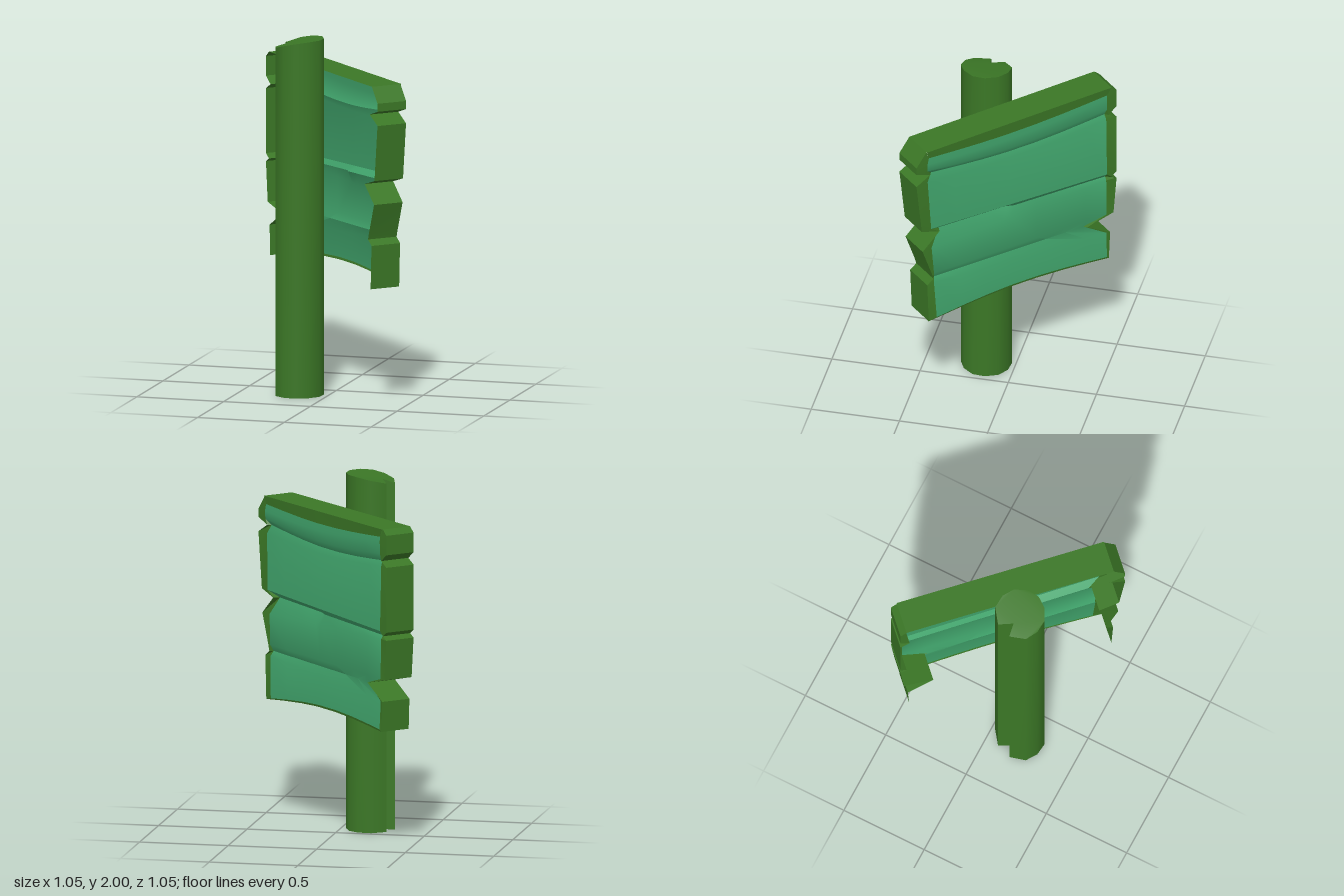
import * as THREE from 'three';
import { toCreasedNormals } from 'three/addons/utils/BufferGeometryUtils.js';

const green = new THREE.MeshStandardMaterial({ color: 0x3b7726, side: THREE.DoubleSide });
const teal = new THREE.MeshStandardMaterial({ color: 0x40a36b, side: THREE.DoubleSide });
const lerp = THREE.MathUtils.lerp;

// Surface through rows of [x, y, z] points
function sheet(name, rows, material, crease = 0.5) {
  const w = rows[0].length, index = [];
  for (let r = 0; r < rows.length - 1; r++) {
    for (let c = 0; c < w - 1; c++) {
      const a = r * w + c, b = a + w;
      index.push(a, b, a + 1, b, b + 1, a + 1);
    }
  }
  const geo = new THREE.BufferGeometry();
  geo.setAttribute('position', new THREE.Float32BufferAttribute(rows.flat(2), 3));
  geo.setIndex(index);
  const mesh = new THREE.Mesh(toCreasedNormals(geo, crease), material);
  mesh.name = name;
  return mesh;
}

// Round post with a groove down one side and a sloping top
function makePost() {
  const post = new THREE.Group();
  post.name = 'post';
  const outline = [
    [-0.3, 0.165], [-0.275, 0.255], [-0.215, 0.295], [-0.145, 0.303], [-0.08, 0.27], [-0.035, 0.21],
    [-0.03, 0.14], [-0.06, 0.07], [-0.12, 0.03], [-0.195, 0.023], [-0.27, 0.08], [-0.23, 0.155],
  ];
  const topY = (x) => 2 - 0.75 * (x + 0.03) ** 2;
  const loop = [...outline, outline[0]];
  post.add(sheet('postSide', [
    loop.map(([x, z]) => [x, topY(x), z]),
    loop.map(([x, z]) => [x, 0, z]),
  ], green, 0.85));

  const shape = new THREE.Shape(outline.map(([x, z]) => new THREE.Vector2(x, -z)));
  const cap = new THREE.ShapeGeometry(shape).rotateX(-Math.PI / 2);
  const p = cap.attributes.position;
  for (let i = 0; i < p.count; i++) p.setY(i, topY(p.getX(i)));
  cap.computeVertexNormals();
  const top = new THREE.Mesh(cap, green);
  top.name = 'postTop';
  post.add(top);
  return post;
}

// Weathered board: a shell with a front, top and notched ends, open behind and below
function makeBoard() {
  const board = new THREE.Group();
  board.name = 'board';
  const half = 0.092, rim = -0.087;

  // Notched end profiles, top to bottom: [along, height]
  const left = [
    [-0.615, 1.81], [-0.65, 1.78], [-0.65, 1.67], [-0.597, 1.63], [-0.65, 1.6], [-0.65, 1.235],
    [-0.615, 1.21], [-0.65, 1.19], [-0.63, 0.965], [-0.46, 0.925], [-0.608, 0.84], [-0.6, 0.67],
  ];
  const right = [
    [0.585, 1.81], [0.65, 1.725], [0.65, 1.68], [0.56, 1.65], [0.65, 1.6], [0.615, 1.285],
    [0.5, 1.25], [0.61, 1.15], [0.55, 0.98], [0.54, 0.945], [0.58, 0.915], [0.57, 0.67],
  ];
  const last = left.length - 1;

  // Face depth per row (seams between planks sit deeper) and sag at mid-length
  const depth = [0.088, 0.09, 0.088, 0.068, 0.08, 0.088, 0.068, 0.08, 0.085, 0.068, 0.083, 0.09];
  const sag = [-0.025, -0.03, -0.035, -0.035, -0.03, 0, 0, 0, 0, 0, 0, 0.04];
  const columns = [0, 0.12, 0.25, 0.4, 0.55, 0.585, 0.7, 0.85, 1];

  const face = left.map(([uL, yL], i) => {
    const [uR, yR] = right[i];
    const a = Math.max(uL + 0.015, -0.587);
    const b = Math.min(uR - 0.015, lerp(0.52, 0.585, (yR - 0.67) / 1.14));
    const cap = 1.765 - 0.025 * i;
    return columns.map((t) => {
      const limit = i < 3 ? cap : 2;
      const y = lerp(Math.min(yL, limit), Math.min(yR, limit), t)
        + sag[i] * Math.sin(Math.PI * t) + (i === last ? 0.012 : 0);
      // Split running in from the left edge along the middle seam
      const n = i === 6 && t > 0.56 ? 0.052 : depth[i];
      return [lerp(a, b, t), y, -n];
    });
  });
  board.add(sheet('planks', face, teal, 0.6));

  // End walls and the rims joining them to the face
  [[left, 0, 'rightEnd'], [right, columns.length - 1, 'leftEnd']].forEach(([profile, c, name]) => {
    board.add(sheet(name, [
      profile.map(([u, y]) => [u, y, half]),
      profile.map(([u, y]) => [u, y, rim]),
    ], green));
    board.add(sheet(name + 'Rim', [
      profile.map(([u, y]) => [u, y, rim]),
      face.map((row) => row[c]),
    ], green));
  });

  // Top wall with its rim, and the thin bottom rim
  const topEdge = (z) => columns.map((t) => [lerp(left[0][0], right[0][0], t), 1.81, z]);
  board.add(sheet('boardTop', [topEdge(half), topEdge(-half), face[0]], green));
  const bottomEdge = columns.map((t) => [
    lerp(left[last][0], right[last][0], t), 0.67 + 0.04 * Math.sin(Math.PI * t), rim,
  ]);
  board.add(sheet('bottomRim', [face[last], bottomEdge], green));

  board.rotation.y = -Math.PI / 4;
  return board;
}

export function createModel() {
  const model = new THREE.Group();
  model.name = 'signpost';
  model.add(makePost(), makeBoard());
  return model;
}
